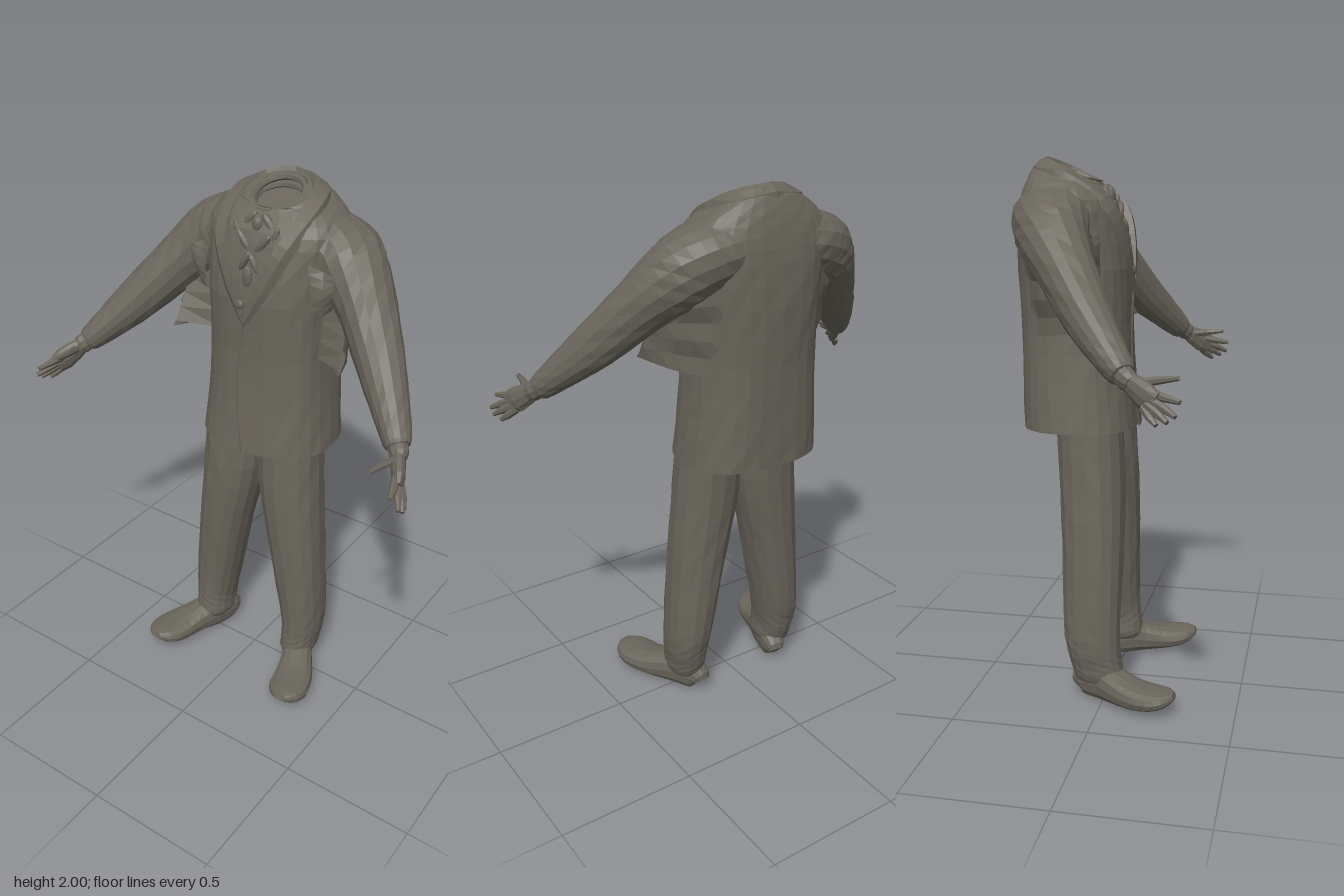
import * as THREE from 'three';

const V = (x, y, z) => new THREE.Vector3(x, y, z);
const cloth = new THREE.MeshStandardMaterial({ color: 0x69655b, side: THREE.DoubleSide });
cloth.name = 'greyBrownCloth';

// Faceted mesh in the single cloth colour
function part(name, geo) {
  const flat = geo.index ? geo.toNonIndexed() : geo;
  flat.computeVertexNormals();
  const mesh = new THREE.Mesh(flat, cloth);
  mesh.name = name;
  return mesh;
}

function fromGrid(points, index) {
  const geo = new THREE.BufferGeometry();
  geo.setFromPoints(points);
  geo.setIndex(index);
  return geo;
}

// Catmull-Rom resampling of number rows, k steps per span
function smooth(rows, k) {
  const out = [];
  const at = i => rows[Math.max(0, Math.min(rows.length - 1, i))];
  for (let i = 0; i < rows.length - 1; i++) {
    for (let s = 0; s < k; s++) {
      const t = s / k;
      out.push(rows[i].map((b, c) => {
        const a = at(i - 1)[c], d = at(i + 1)[c], e = at(i + 2)[c];
        return b + 0.5 * t * (d - a + t * (2 * a - 5 * b + 4 * d - e + t * (3 * (b - d) + e - a)));
      }));
    }
  }
  out.push(rows[rows.length - 1]);
  return out;
}

// Skin over sections { c, u, v }: superellipse of power p, with slight cloth folds
function loft(sections, { n = 18, p = 2, folds = 0, capStart = true, capEnd = true } = {}) {
  const pts = [], idx = [];
  const bend = w => Math.sign(w) * Math.abs(w) ** (2 / p);
  sections.forEach(({ c, u, v }, i) => {
    for (let j = 0; j < n; j++) {
      const a = j / n * Math.PI * 2;
      const f = 1 + folds * Math.sin(j * 2.3 + i * 1.7) * Math.sin(i * 0.9 + j);
      pts.push(c.clone().addScaledVector(u, f * bend(Math.cos(a))).addScaledVector(v, f * bend(Math.sin(a))));
      if (i === 0) continue;
      const k = (j + 1) % n, lo = (i - 1) * n, hi = i * n;
      idx.push(lo + j, hi + j, lo + k, lo + k, hi + j, hi + k);
    }
  });
  const last = (sections.length - 1) * n;
  const start = pts.push(sections[0].c.clone()) - 1;
  const end = pts.push(sections[sections.length - 1].c.clone()) - 1;
  for (let j = 0; j < n; j++) {
    const k = (j + 1) % n;
    if (capStart) idx.push(start, j, k);
    if (capEnd) idx.push(end, last + k, last + j);
  }
  return fromGrid(pts, idx);
}

// Rows [x, y, z, half width, half height] along a roughly horizontal path
function limb(rows, opts) {
  return loft(rows.map((r, i) => {
    const a = rows[Math.max(0, i - 1)], b = rows[Math.min(rows.length - 1, i + 1)];
    const t = V(b[0] - a[0], b[1] - a[1], b[2] - a[2]).normalize();
    const u = t.clone().cross(V(0, 1, 0)).normalize();
    const v = u.clone().cross(t);
    return { c: V(r[0], r[1], r[2]), u: u.multiplyScalar(r[3]), v: v.multiplyScalar(r[4]) };
  }), opts);
}

// Strip through matching edge curves
function ribbon(edges, steps) {
  const pts = [], idx = [], w = steps + 1;
  edges.forEach(e => pts.push(...new THREE.CatmullRomCurve3(e).getPoints(steps)));
  for (let r = 0; r < edges.length - 1; r++) {
    for (let s = 0; s < steps; s++) {
      const a = r * w + s, b = a + w;
      idx.push(a, a + 1, b, b, a + 1, b + 1);
    }
  }
  return fromGrid(pts, idx);
}

function blob(name, x, y, z, sx, sy, sz, tilt = 0) {
  const mesh = part(name, new THREE.IcosahedronGeometry(1, 1));
  mesh.position.set(x, y, z);
  mesh.scale.set(sx, sy, sz);
  mesh.rotation.z = tilt;
  return mesh;
}

// Sleeve, hand, leg, shoe, underarm folds and half collar of the +x side
function makeSide(name) {
  const g = new THREE.Group();
  g.name = name;
  g.add(part('sleeve', limb(smooth([
    [0.06, 1.80, -0.195, 0.12, 0.095], [0.17, 1.785, -0.19, 0.138, 0.112], [0.255, 1.75, -0.175, 0.135, 0.122],
    [0.32, 1.695, -0.145, 0.12, 0.118], [0.40, 1.615, -0.09, 0.10, 0.10], [0.52, 1.475, 0.01, 0.08, 0.083],
    [0.61, 1.375, 0.095, 0.062, 0.062], [0.665, 1.315, 0.15, 0.047, 0.047], [0.675, 1.305, 0.16, 0.034, 0.034]], 3),
  { n: 16, p: 2.15, folds: 0.025 })));
  g.add(part('cuff', limb([
    [0.66, 1.32, 0.145, 0.035, 0.035], [0.685, 1.295, 0.175, 0.034, 0.038], [0.695, 1.285, 0.19, 0.026, 0.03]], { n: 10 })));

  // Hand
  g.add(part('palm', limb([
    [0.68, 1.298, 0.17, 0.023, 0.028], [0.70, 1.275, 0.205, 0.025, 0.04],
    [0.722, 1.25, 0.24, 0.023, 0.047], [0.738, 1.232, 0.27, 0.014, 0.04]], { n: 10 })));
  const fingers = [
    ['thumb', [0.69, 1.285, 0.20], [0.675, 1.295, 0.27], [0.667, 1.302, 0.335]],
    ['indexFinger', [0.72, 1.262, 0.25], [0.737, 1.252, 0.30], [0.752, 1.242, 0.35]],
    ['middleFinger', [0.73, 1.245, 0.25], [0.755, 1.223, 0.30], [0.78, 1.202, 0.34]],
    ['ringFinger', [0.733, 1.23, 0.245], [0.76, 1.205, 0.285], [0.782, 1.184, 0.315]],
    ['littleFinger', [0.728, 1.218, 0.235], [0.752, 1.192, 0.258], [0.77, 1.172, 0.28]]];
  for (const [finger, a, b, c] of fingers) {
    g.add(part(finger, limb([[...a, 0.016, 0.016], [...b, 0.014, 0.014], [...c, 0.008, 0.008]], { n: 7 })));
  }

  // Trouser leg, rows [y, x, z, rx, rz]
  const leg = smooth([
    [0.08, 0.213, -0.02, 0.06, 0.08], [0.105, 0.213, -0.02, 0.07, 0.093], [0.15, 0.215, -0.03, 0.071, 0.098],
    [0.20, 0.216, -0.038, 0.077, 0.10], [0.30, 0.207, -0.047, 0.086, 0.107], [0.60, 0.168, -0.05, 0.105, 0.117],
    [0.88, 0.128, -0.06, 0.125, 0.122], [1.15, 0.12, -0.08, 0.118, 0.12]], 3);
  g.add(part('trouserLeg', loft(leg.map(([y, x, z, rx, rz]) =>
    ({ c: V(x, y, z), u: V(rx, 0, 0), v: V(0, 0, rz) })), { n: 16, p: 2.25, folds: 0.02 })));

  // Shoe with a broad upturned toe
  g.add(part('shoe', limb(smooth([
    [0.185, 0.045, -0.105, 0.03, 0.03], [0.19, 0.063, -0.08, 0.048, 0.06], [0.218, 0.073, 0, 0.058, 0.071],
    [0.25, 0.066, 0.06, 0.065, 0.059], [0.282, 0.058, 0.13, 0.076, 0.046], [0.303, 0.06, 0.20, 0.079, 0.037],
    [0.312, 0.07, 0.25, 0.062, 0.027], [0.315, 0.08, 0.28, 0.025, 0.012]], 2), { n: 14, p: 2.5 })));

  // Pleated cloth running from the jacket back out to the sleeve
  const pleats = [];
  for (let i = 0; i < 6; i++) {
    const t = i / 5, fold = i % 2 ? 0.012 : -0.006;
    pleats.push([V(0.18, 1.70 - 0.34 * t, -0.305 + 0.03 * t),
      V(0.285 + 0.01 * t, 1.68 - 0.30 * t, -0.245 + 0.105 * t - fold),
      V(0.35 + 0.01 * t, 1.63 - 0.23 * t, -0.12 + 0.125 * t + fold)]);
  }
  g.add(part('underarmFolds', ribbon(pleats, 5)));
  g.add(part('underarmHem', ribbon([pleats[5],
    [V(0.18, 1.38, -0.1), V(0.25, 1.41, -0.05), V(0.352, 1.42, 0.01)]], 5)));
  g.add(part('underarmFront', ribbon([
    [V(0.352, 1.42, 0.01), V(0.345, 1.52, -0.04), V(0.33, 1.63, -0.08)],
    [V(0.21, 1.40, -0.07), V(0.22, 1.53, -0.08), V(0.23, 1.68, -0.09)]], 4)));
  // Crumpled cloth at the front of the armpit
  g.add(part('armpitCrease', ribbon([
    [V(0.20, 1.76, -0.02), V(0.22, 1.68, -0.01), V(0.215, 1.58, -0.01)],
    [V(0.25, 1.74, -0.04), V(0.265, 1.67, -0.015), V(0.255, 1.58, -0.03)],
    [V(0.30, 1.73, -0.03), V(0.30, 1.68, -0.03), V(0.28, 1.60, -0.06)]], 5)));

  // Rolled collar running down into the lapel
  g.add(part('lapel', ribbon([
    [V(0, 1.94, -0.30), V(0.13, 1.925, -0.265), V(0.187, 1.905, -0.15), V(0.165, 1.80, 0), V(0.10, 1.66, 0.052), V(0, 1.50, 0.066)],
    [V(0, 1.975, -0.295), V(0.13, 1.955, -0.26), V(0.18, 1.935, -0.14), V(0.15, 1.82, 0.02), V(0.085, 1.68, 0.065), V(0, 1.52, 0.075)],
    [V(0, 2.0, -0.255), V(0.09, 1.985, -0.22), V(0.13, 1.94, -0.12), V(0.11, 1.83, 0.02), V(0.055, 1.71, 0.064), V(0, 1.55, 0.075)],
    [V(0, 1.965, -0.235), V(0.085, 1.95, -0.205), V(0.115, 1.91, -0.12), V(0.10, 1.82, -0.01), V(0.045, 1.70, 0.045), V(0, 1.55, 0.06)]], 18)));
  return g;
}

export function createModel() {
  const model = new THREE.Group();
  model.name = 'suitedFigure';

  // Jacket rows: [y, back z, front z, half width, tilt], ending in the open neck
  const jacketRows = smooth([
    [1.02, -0.33, 0.09, 0.262, 0], [1.20, -0.335, 0.07, 0.245, 0], [1.40, -0.34, 0.06, 0.233, 0],
    [1.60, -0.35, 0.06, 0.24, 0], [1.75, -0.345, 0.03, 0.258, 0], [1.84, -0.332, 0, 0.262, 0],
    [1.90, -0.315, -0.045, 0.215, -0.05], [1.935, -0.295, -0.06, 0.155, -0.2]], 2);
  jacketRows.push([1.95, -0.27, -0.05, 0.125, -0.35], [1.945, -0.235, -0.055, 0.092, -0.4], [1.90, -0.22, -0.07, 0.082, -0.4]);
  model.add(part('jacket', loft(jacketRows.map(([y, b, f, rx, tilt]) => {
    const rz = (f - b) / 2;
    return { c: V(0, y, (f + b) / 2), u: V(rx, 0, 0), v: V(0, tilt * rz, rz) };
  }), { n: 28, p: 2.6, folds: 0.01, capStart: false })));

  // Front overlap and button
  model.add(part('frontOverlap', ribbon([
    [V(-0.002, 1.53, 0.064), V(-0.03, 1.35, 0.064), V(-0.03, 1.2, 0.072), V(-0.004, 1.012, 0.09)],
    [V(0.004, 1.53, 0.07), V(-0.024, 1.35, 0.069), V(-0.024, 1.2, 0.077), V(0.004, 1.012, 0.095)],
    [V(0.08, 1.53, 0.054), V(0.08, 1.35, 0.056), V(0.08, 1.2, 0.066), V(0.09, 1.015, 0.086)]], 10)));
  model.add(blob('button', -0.015, 1.595, 0.072, 0.018, 0.018, 0.01));

  // Wound neckcloth and its crumpled folds
  for (const [y, z, r] of [[1.93, -0.145, 0.094], [1.90, -0.13, 0.104]]) {
    const wrap = part('neckcloth', new THREE.TorusGeometry(r, 0.013, 6, 20));
    wrap.position.set(0, y, z);
    wrap.rotation.x = Math.PI / 2 + 0.4;
    model.add(wrap);
  }
  model.add(blob('cravatKnot', 0, 1.86, -0.02, 0.022, 0.035, 0.022));
  for (const s of [-1, 1]) {
    model.add(blob('cravatFold', s * 0.05, 1.855, -0.03, 0.016, 0.06, 0.018, s * 0.7));
    model.add(blob('cravatFold', s * 0.075, 1.82, -0.01, 0.014, 0.05, 0.014, -s * 0.3));
    model.add(blob('cravatFold', s * 0.035, 1.80, 0.008, 0.015, 0.055, 0.016, -s * 0.7));
    model.add(blob('cravatFold', s * 0.02, 1.74, 0.032, 0.013, 0.045, 0.015, s * 0.5));
  }
  model.add(blob('cravatTail', 0, 1.69, 0.046, 0.02, 0.04, 0.012));

  // Both sides
  const left = makeSide('leftSide');
  const right = makeSide('rightSide');
  right.scale.x = -1;
  model.add(left, right);
  return model;
}
